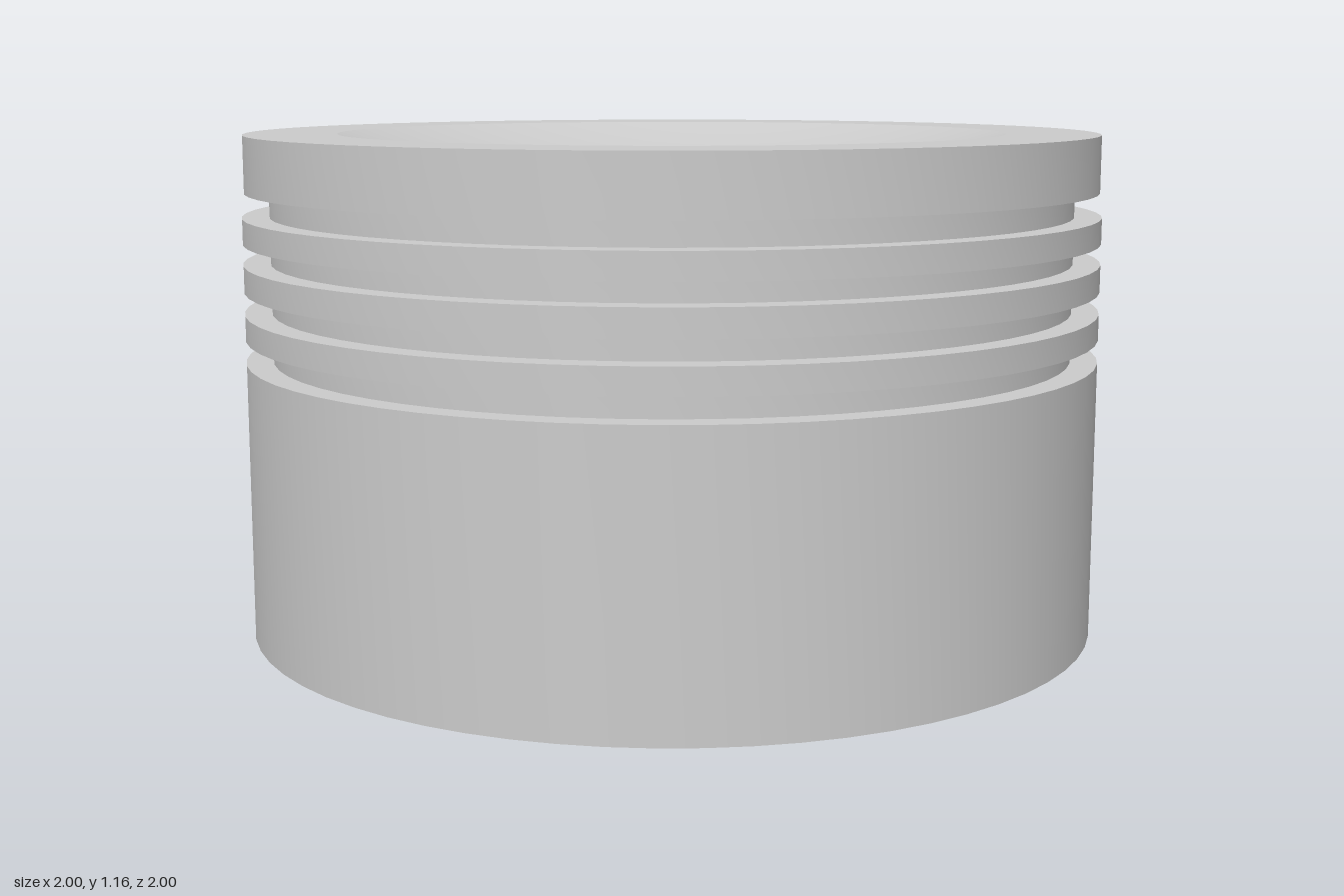
import * as THREE from 'three';
import { toCreasedNormals } from 'three/addons/utils/BufferGeometryUtils.js';

const SEG = 64;
const TOP = 1.163, DISH_R = 0.78, DISH_D = 0.113;
const SPHERE_R = (DISH_R ** 2 + DISH_D ** 2) / (2 * DISH_D);
const SPHERE_Y = TOP - DISH_D + SPHERE_R;
const JET_R = 0.45, JET_HOLE = 0.03;
const BAND_IN = 0.3, BAND_OUT = 0.6;
const FACE_Y = 0.13, CEILING = 0.65;

// Height of the spherical dish at a point of the plan
const dishY = (x, z) => SPHERE_Y - Math.sqrt(SPHERE_R ** 2 - x * x - z * z);

const material = new THREE.MeshStandardMaterial({ color: 0xcccccc });
const thin = new THREE.MeshStandardMaterial({ color: 0xcccccc, side: THREE.DoubleSide });

function add(parent, name, geometry, mat = material) {
  const mesh = new THREE.Mesh(geometry, mat);
  mesh.name = name;
  parent.add(mesh);
  return mesh;
}

function lathe(points) {
  const profile = points.map(([r, y]) => new THREE.Vector2(r, y));
  return toCreasedNormals(new THREE.LatheGeometry(profile, SEG), 0.5);
}

// Smooth ring of the dish, running from the outer radius to the inner one
function dishRing(r0, r1, steps) {
  const points = [];
  for (let i = 0; i <= steps; i++) {
    const r = r0 + (r1 - r0) * i / steps;
    points.push(new THREE.Vector2(r, dishY(r, 0)));
  }
  return new THREE.LatheGeometry(points, SEG);
}

// Quarter of the dish's middle band, lofted from the jet hole to the band's border
function dishQuarter() {
  const border = [], q = Math.PI / 4, arc = SEG / 4, side = 8, steps = 8;
  const polar = (r, a) => border.push([r * Math.cos(a), r * Math.sin(a)]);
  for (let i = 0; i < arc; i++) polar(BAND_OUT, -q + 2 * q * i / arc);
  for (let i = 0; i < side; i++) polar(BAND_OUT + (BAND_IN - BAND_OUT) * i / side, q);
  for (let i = 0; i < arc; i++) polar(BAND_IN, q - 2 * q * i / arc);
  for (let i = 0; i < side; i++) polar(BAND_IN + (BAND_OUT - BAND_IN) * i / side, -q);

  const position = [], normal = [], index = [], n = border.length;
  for (let j = 0; j <= steps; j++) {
    border.forEach(([bx, bz]) => {
      const a = Math.atan2(bz, bx - JET_R), t = j / steps;
      const hx = JET_R + JET_HOLE * Math.cos(a), hz = JET_HOLE * Math.sin(a);
      const x = hx + (bx - hx) * t, z = hz + (bz - hz) * t, y = dishY(x, z);
      position.push(x, y, z);
      normal.push(-x / SPHERE_R, (SPHERE_Y - y) / SPHERE_R, -z / SPHERE_R);
    });
  }
  for (let j = 0; j < steps; j++) {
    for (let i = 0; i < n; i++) {
      const a = j * n + i, b = j * n + (i + 1) % n;
      index.push(a, b, a + n, b, b + n, a + n);
    }
  }
  const g = new THREE.BufferGeometry();
  g.setAttribute('position', new THREE.Float32BufferAttribute(position, 3));
  g.setAttribute('normal', new THREE.Float32BufferAttribute(normal, 3));
  g.setIndex(index);
  return g;
}

// Blind hole whose rim follows the dish
function jetHole() {
  const depth = 0.12, bottom = dishY(JET_R, 0) - depth;
  const g = new THREE.CylinderGeometry(JET_HOLE, JET_HOLE, depth, 32, 1, true);
  g.translate(JET_R, bottom + depth / 2, 0);
  const p = g.attributes.position;
  for (let i = 0; i < p.count; i++) {
    if (p.getY(i) > bottom + depth / 2) p.setY(i, dishY(p.getX(i), p.getZ(i)));
  }
  const floor = new THREE.CircleGeometry(JET_HOLE, 32).rotateX(-Math.PI / 2).translate(JET_R, bottom, 0);
  return [g, floor];
}

function circle(r, n, cx = 0, cy = 0) {
  return Array.from({ length: n }, (_, i) => {
    const a = i / n * Math.PI * 2;
    return new THREE.Vector2(cx + r * Math.cos(a), cy + r * Math.sin(a));
  });
}

export function createModel() {
  const model = new THREE.Group();
  model.name = 'piston';

  // Skirt, ring grooves and flat rim, with the hollow inside the skirt
  const profile = [[0.67, FACE_Y], [0.67, CEILING], [0.885, CEILING], [0.885, 0], [1, 0]];
  const grooves = [[0.643, 0.697], [0.756, 0.807], [0.869, 0.917], [0.976, 1.032]];
  grooves.forEach(([low, high], i) => {
    const above = i === 3 ? 0.994 : 1;
    profile.push([1, low], [0.938, low], [0.938, high], [above, high]);
  });
  profile.push([0.994, TOP], [DISH_R, TOP]);
  add(model, 'skirtAndRingLands', lathe(profile));

  // Dished crown
  const crown = new THREE.Group();
  crown.name = 'crownDish';
  model.add(crown);
  add(crown, 'dishOuter', dishRing(DISH_R, BAND_OUT, 8));
  add(crown, 'dishCentre', dishRing(BAND_IN, 0, 10));
  const quarter = dishQuarter(), [wall, floor] = jetHole();
  for (let i = 0; i < 4; i++) {
    const part = new THREE.Group();
    part.name = 'dishQuarter';
    part.rotation.y = i * Math.PI / 2;
    add(part, 'dishBand', quarter);
    add(part, 'crownHoleWall', wall, thin);
    add(part, 'crownHoleFloor', floor);
    crown.add(part);
  }

  // Stepped centre bore of the boss
  add(model, 'centreBore', lathe([
    [0, CEILING], [0.245, CEILING], [0.245, 0.205], [0.335, 0.205], [0.335, FACE_Y],
  ]));

  // Boss face with a circle of bolt holes
  const face = new THREE.Shape(circle(0.67, SEG));
  face.holes.push(new THREE.Path(circle(0.335, SEG)));
  const boltR = 0.04, boltDepth = 0.2;
  const boltWall = new THREE.CylinderGeometry(boltR, boltR, boltDepth, 24, 1, true);
  const boltEnd = new THREE.CircleGeometry(boltR, 24).rotateX(Math.PI / 2);
  for (let i = 0; i < 12; i++) {
    const a = i * Math.PI / 6, x = 0.56 * Math.cos(a), z = 0.56 * Math.sin(a);
    face.holes.push(new THREE.Path(circle(boltR, 24, x, z)));
    add(model, 'boltHoleWall', boltWall, thin).position.set(x, FACE_Y + boltDepth / 2, z);
    add(model, 'boltHoleEnd', boltEnd).position.set(x, FACE_Y + boltDepth, z);
  }
  add(model, 'bossFace', new THREE.ShapeGeometry(face).rotateX(Math.PI / 2).translate(0, FACE_Y, 0));

  return model;
}
